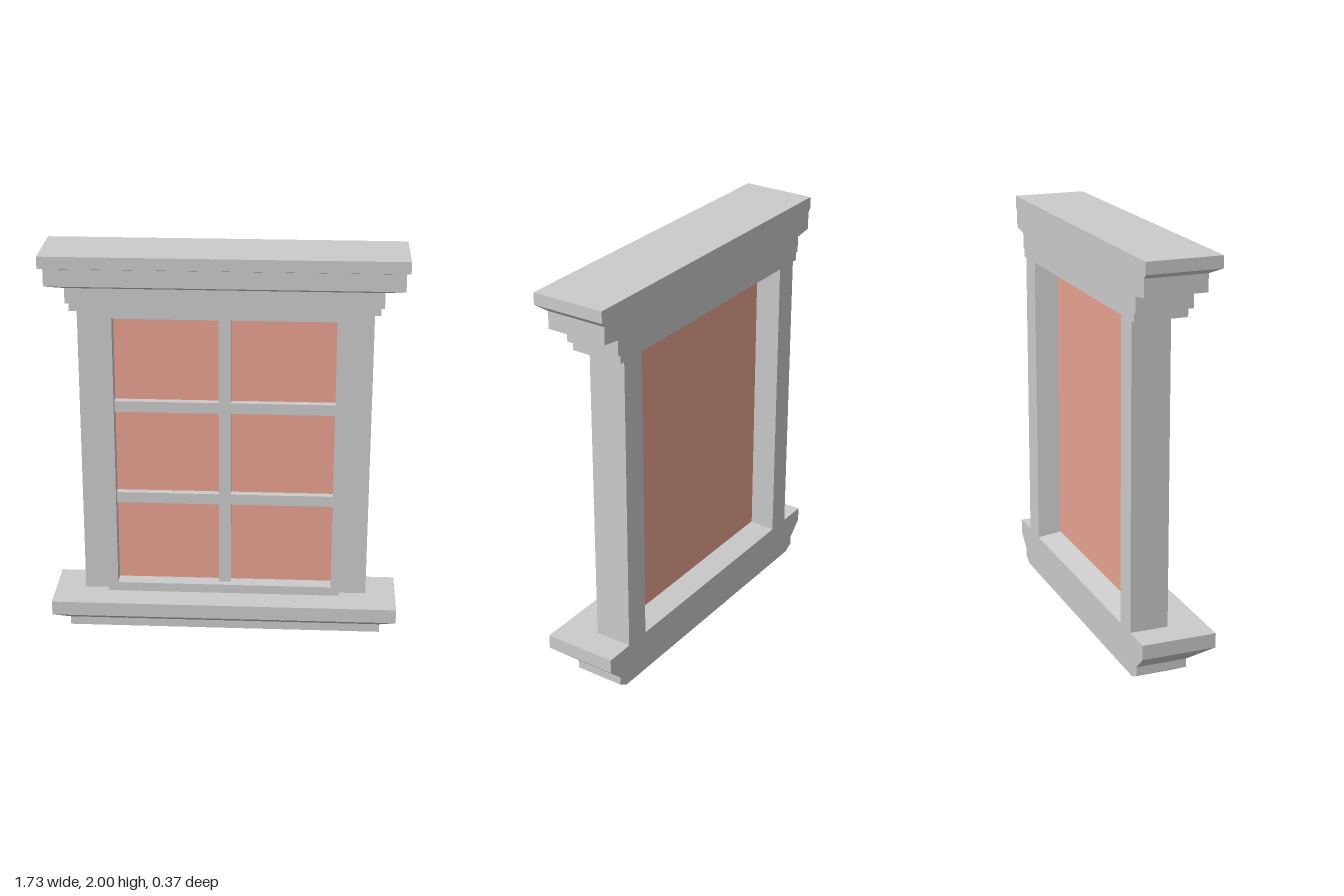
import * as THREE from 'three';

const BACK = -0.184;
const GLASS_FRONT = -0.036;
const GLASS_BACK = -0.068;
const grey = new THREE.MeshStandardMaterial({ color: 0xcccccc, flatShading: true });
const pane = new THREE.MeshStandardMaterial({ color: 0xe8a290 });

function box(name, x0, x1, y0, y1, z0, z1, material = grey) {
  const mesh = new THREE.Mesh(new THREE.BoxGeometry(x1 - x0, y1 - y0, z1 - z0), material);
  mesh.position.set((x0 + x1) / 2, (y0 + y1) / 2, (z0 + z1) / 2);
  mesh.name = name;
  return mesh;
}

// Skin over a run of four-cornered rings, with optional end caps.
function loft(name, rings, capped) {
  const positions = [];
  const quad = (a, b, c, d) => positions.push(...a, ...b, ...c, ...a, ...c, ...d);
  for (let i = 0; i < rings.length - 1; i++) {
    const lo = rings[i], hi = rings[i + 1];
    for (let j = 0; j < 4; j++) {
      const k = (j + 1) % 4;
      quad(lo[j], lo[k], hi[k], hi[j]);
    }
  }
  if (capped) {
    const first = rings[0], last = rings[rings.length - 1];
    quad(first[3], first[2], first[1], first[0]);
    quad(...last);
  }
  const geometry = new THREE.BufferGeometry();
  geometry.setAttribute('position', new THREE.Float32BufferAttribute(positions, 3));
  geometry.computeVertexNormals();
  const mesh = new THREE.Mesh(geometry, grey);
  mesh.name = name;
  return mesh;
}

// Moulding mitred round the front and both ends, flat at the back.
// Profile runs bottom to top as [half width, front z, y].
function moulding(name, profile) {
  const rings = profile.map(([w, z, y]) => [[-w, y, z], [w, y, z], [w, y, BACK], [-w, y, BACK]]);
  return loft(name, rings, true);
}

// Upright rectangle at depth z
function rectRing(x0, x1, y0, y1, z) {
  return [[x0, y0, z], [x1, y0, z], [x1, y1, z], [x0, y1, z]];
}

function rectPath(path, x0, x1, y0, y1) {
  return path.setFromPoints(
    rectRing(x0, x1, y0, y1, 0).map(([x, y]) => new THREE.Vector2(x, y))).closePath();
}

export function createModel() {
  const group = new THREE.Group();
  group.name = 'window';

  // Stepped cornice and sill
  group.add(moulding('cornice', [
    [0.74, 0.075, 1.706], [0.74, 0.075, 1.745],
    [0.755, 0.095, 1.748], [0.755, 0.095, 1.825],
    [0.85, 0.12, 1.838], [0.85, 0.12, 1.923],
    [0.866, 0.184, 1.942], [0.866, 0.184, 2],
  ]));
  group.add(moulding('sill', [
    [0.74, 0.01, 0], [0.787, 0.068, 0.027], [0.787, 0.068, 0.07],
    [0.862, 0.184, 0.14], [0.862, 0.184, 0.212],
  ]));

  // Jambs on both sides
  group.add(box('rightJamb', -0.712, -0.59, 0.212, 1.706, BACK, 0.005));
  group.add(box('leftJamb', 0.58, 0.713, 0.212, 1.706, BACK, 0.005));

  // Splayed reveal narrowing from the back opening to the glass
  group.add(loft('backReveal', [
    rectRing(-0.565, 0.555, 0.237, 1.681, GLASS_BACK),
    rectRing(-0.59, 0.58, 0.212, 1.706, BACK),
  ], false));

  // Sash frame standing proud of the jambs
  const outline = rectPath(new THREE.Shape(), -0.59, 0.58, 0.212, 1.706);
  outline.holes.push(rectPath(new THREE.Path(), -0.542, 0.537, 0.258, 1.66));
  const frame = new THREE.Mesh(
    new THREE.ExtrudeGeometry(outline, { depth: 0.04 - GLASS_FRONT, bevelEnabled: false }), grey);
  frame.position.z = GLASS_FRONT;
  frame.name = 'sashFrame';
  group.add(frame);

  // Glazing bars, set back from the frame
  group.add(box('verticalBar', -0.031, 0.029, 0.258, 1.66, GLASS_FRONT, 0.003));
  for (const y of [0.686, 1.171]) {
    group.add(box('horizontalBar', -0.542, 0.537, y, y + 0.055, GLASS_FRONT, 0.002));
  }

  // Glass filling the opening behind the frame
  group.add(box('glass', -0.565, 0.555, 0.237, 1.681, GLASS_BACK, GLASS_FRONT - 0.0005, pane));

  return group;
}
